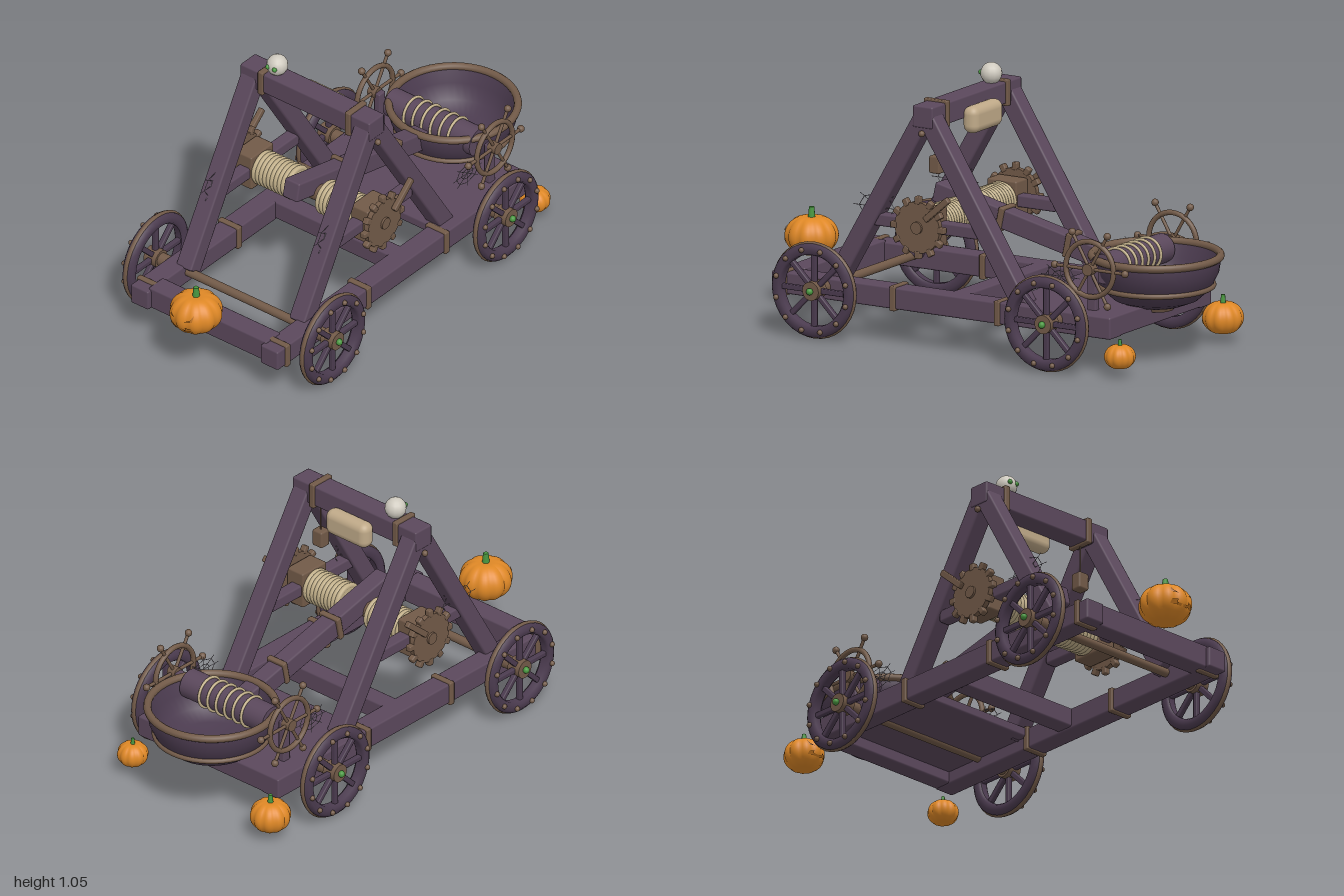
import * as THREE from 'three';
import { RoundedBoxGeometry } from 'three/addons/geometries/RoundedBoxGeometry.js';

const material = (name, color) => Object.assign(new THREE.MeshStandardMaterial({ color }), { name });

export function createModel() {
  const M = {
    wood: material('purple wood', 0x5b485c), dark: material('dark purple wood', 0x4b3b4f),
    brown: material('brown fittings', 0x725a48), rope: material('rope', 0xc2b08a),
    pad: material('pad', 0xbfa988), pumpkin: material('pumpkin orange', 0xdf8826),
    carve: material('carved orange', 0xb56c1c), bone: material('bone', 0xcfcabf),
    green: material('green', 0x48963f), web: material('web grey', 0x77707a),
  };
  M.carve.side = THREE.DoubleSide;
  const root = new THREE.Group();
  root.name = 'catapult';
  const V = (x, y, z) => new THREE.Vector3(x, y, z);

  const add = (name, geo, mat, pos = [0, 0, 0], parent = root) => {
    const m = new THREE.Mesh(geo, mat);
    m.name = name;
    m.position.set(...pos);
    parent.add(m);
    return m;
  };
  const box = (name, size, pos, mat = M.wood, parent = root) =>
    add(name, new RoundedBoxGeometry(...size, 1, Math.min(0.008, Math.min(...size) * 0.2)), mat, pos, parent);
  const ball = (name, r, pos, mat = M.brown, parent = root) =>
    add(name, new THREE.SphereGeometry(r, 14, 10), mat, pos, parent);
  // Cylinder lying along x
  const barX = (name, r, len, pos, mat = M.brown, parent = root) =>
    add(name, new THREE.CylinderGeometry(r, r, len, 24).rotateZ(-Math.PI / 2), mat, pos, parent);
  const ringX = (name, r, tube, pos, mat, parent = root) =>
    add(name, new THREE.TorusGeometry(r, tube, 8, 36).rotateY(Math.PI / 2), mat, pos, parent);
  // Round rod between two points
  const rod = (name, a, b, r, mat, parent = root, sides = 8) => {
    const d = b.clone().sub(a);
    const m = add(name, new THREE.CylinderGeometry(r, r, d.length(), sides), mat, [0, 0, 0], parent);
    m.position.copy(a).add(b).multiplyScalar(0.5);
    m.quaternion.setFromUnitVectors(V(0, 1, 0), d.normalize());
    return m;
  };
  // Square beam in a plane of constant x, from [y, z] to [y, z]
  const beam = (name, x, [y0, z0], [y1, z1], w, h, mat = M.wood) => {
    const m = box(name, [w, h, Math.hypot(y1 - y0, z1 - z0)], [x, (y0 + y1) / 2, (z0 + z1) / 2], mat);
    m.rotation.x = -Math.atan2(y1 - y0, z1 - z0);
    return m;
  };

  // Base frame
  box('frontCrossBeam', [0.6, 0.095, 0.09], [0, 0.2, 0.775]);
  box('middleCrossBeam', [0.6, 0.08, 0.08], [0, 0.2, 0]);
  box('rearCrossBeam', [0.6, 0.085, 0.08], [0, 0.198, -0.71]);
  box('rearDeck', [0.75, 0.04, 0.53], [0, 0.222, -0.485]);
  for (const s of [-1, 1]) {
    box('sideRail', [0.09, 0.088, 1.59], [s * 0.33, 0.196, 0.045]);
    for (const z of [0.78, 0.27, -0.22]) box('railBand', [0.106, 0.102, 0.026], [s * 0.33, 0.196, z], M.brown);
  }

  // Wheels: outward side is local +x
  const rim = [[0.145, -0.015], [0.153, -0.025], [0.175, -0.025], [0.19, -0.014], [0.19, 0.014],
    [0.175, 0.025], [0.153, 0.025], [0.145, 0.015], [0.145, -0.015]].map(p => new THREE.Vector2(...p));
  for (const z of [0.59, -0.5]) {
    barX('axle', 0.018, 0.9, [0, 0.205, z]);
    for (const s of [-1, 1]) {
      const wheel = new THREE.Group();
      wheel.name = 'wheel';
      wheel.position.set(s * 0.45, 0.205, z);
      wheel.rotation.y = s > 0 ? 0 : Math.PI;
      root.add(wheel);
      add('wheelRim', new THREE.LatheGeometry(rim, 40).rotateZ(-Math.PI / 2), M.dark, [0, 0, 0], wheel);
      ringX('tyre', 0.186, 0.011, [0, 0, 0], M.brown, wheel);
      barX('hub', 0.038, 0.06, [0, 0, 0], M.brown, wheel);
      barX('innerHub', 0.028, 0.05, [-0.05, 0, 0], M.brown, wheel);
      ball('hubGem', 0.014, [0.036, 0, 0], M.green, wheel);
      for (let i = 0; i < 12; i++) {
        const a = (i + 0.5) * Math.PI / 6;
        ball('rimRivet', 0.011, [0.028, 0.168 * Math.sin(a), 0.168 * Math.cos(a)], M.brown, wheel);
      }
      for (let i = 0; i < 8; i++) {
        const a = i * Math.PI / 4;
        const spoke = box('spoke', [0.022, 0.13, 0.022], [0, 0.09 * Math.cos(a), 0.09 * Math.sin(a)], M.dark, wheel);
        spoke.rotation.x = a;
      }
    }
  }

  // Tower
  box('topBeam', [0.66, 0.09, 0.095], [0, 0.936, 0.16]);
  for (const s of [-1, 1]) {
    beam('frontLeg', s * 0.288, [0.93, 0.17], [0.215, 0.585], 0.078, 0.075);
    beam('rearLeg', s * 0.288, [0.93, 0.15], [0.215, -0.3], 0.078, 0.075);
    box('sideStrut', [0.055, 0.05, 0.5], [s * 0.288, 0.49, 0.165]);
    box('topBand', [0.026, 0.108, 0.112], [s * 0.222, 0.936, 0.16], M.brown);
    ball('legPeg', 0.013, [s * 0.335, 0.87, 0.16]);
  }
  add('stopPad', new RoundedBoxGeometry(0.22, 0.11, 0.07, 4, 0.033), M.pad, [0, 0.888, 0.086]);
  rod('weightCord', V(0.22, 0.9, 0.16), V(0.22, 0.75, 0.16), 0.003, M.brown);
  box('hangingWeight', [0.052, 0.072, 0.05], [0.22, 0.726, 0.16], M.brown);

  // Skull ball on the top beam
  ball('skull', 0.044, [-0.178, 1.018, 0.16], M.bone);
  for (const x of [-0.195, -0.161]) ball('skullEye', 0.01, [x, 1.021, 0.199], M.green);

  // Winch with rope coils and toothed wheels
  barX('winchDrum', 0.036, 0.7, [0, 0.495, 0.16]);
  for (const s of [-1, 1]) {
    barX('coilCore', 0.06, 0.18, [s * 0.16, 0.492, 0.16], M.rope);
    for (let i = 0; i < 10; i++) ringX('ropeCoil', 0.062, 0.0115, [s * (0.079 + i * 0.0185), 0.492, 0.16], M.rope);
    box('bearing', [0.088, 0.155, 0.14], [s * 0.296, 0.492, 0.16], M.brown);
    barX('gearDisc', 0.105, 0.022, [s * 0.358, 0.495, 0.16]);
    barX('gearHub', 0.025, 0.04, [s * 0.358, 0.495, 0.16]);
    for (let i = 0; i < 12; i++) {
      const a = i * Math.PI / 6;
      const tooth = box('gearTooth', [0.026, 0.032, 0.026],
        [s * 0.358, 0.495 + 0.111 * Math.cos(a), 0.16 + 0.111 * Math.sin(a)], M.brown);
      tooth.rotation.x = a;
    }
    beam('gearHandle', s * 0.38, [0.535, 0.115], [0.63, 0.005], 0.022, 0.026, M.brown);
  }

  // Throwing arm
  beam('throwingArm', 0, [0.562, 0.295], [0.375, -0.52], 0.076, 0.082);
  beam('armBand', 0, [0.491, -0.008], [0.486, -0.032], 0.1, 0.1, M.brown);
  beam('armBand', 0, [0.423, -0.322], [0.418, -0.346], 0.092, 0.1, M.brown);

  // Bowl
  const bowl = [[0, 0.225], [0.11, 0.226], [0.17, 0.25], [0.22, 0.295], [0.25, 0.36], [0.26, 0.425], [0.244, 0.425],
    [0.232, 0.36], [0.2, 0.3], [0.15, 0.262], [0, 0.245]].map(p => new THREE.Vector2(...p));
  add('bowl', new THREE.LatheGeometry(bowl, 48), M.dark, [0, 0, -0.727]);
  const hoop = (name, r, t, y) =>
    add(name, new THREE.TorusGeometry(r, t, 10, 48).rotateX(Math.PI / 2), M.brown, [0, y, -0.727]);
  hoop('bowlRim', 0.256, 0.016, 0.424);
  hoop('bowlHoop', 0.228, 0.011, 0.305);
  add('bowlFoot', new THREE.CylinderGeometry(0.085, 0.07, 0.03, 24), M.brown, [0, 0.22, -0.727]);
  barX('bowlRoller', 0.06, 0.44, [0, 0.395, -0.615], M.wood);
  for (let i = 0; i < 6; i++) ringX('rollerRope', 0.064, 0.006, [-0.112 + i * 0.045, 0.395, -0.615], M.rope);

  // Hand wheels beside the bowl
  for (const s of [-1, 1]) {
    const x = s * 0.305, y = 0.41, z = -0.61;
    ringX('handWheelRim', 0.112, 0.011, [x, y, z], M.brown);
    barX('handWheelHub', 0.024, 0.04, [x, y, z]);
    box('handWheelPost', [0.03, 0.2, 0.04], [s * 0.28, 0.32, z], M.wood);
    for (let i = 0; i < 6; i++) {
      const a = i * Math.PI / 3, c = Math.cos(a) * 0.165, d = Math.sin(a) * 0.165;
      rod('handWheelSpoke', V(x, y, z), V(x, y + d, z + c), 0.007, M.brown);
      ball('handWheelKnob', 0.015, [x, y + d, z + c]);
    }
  }

  // Pumpkins: a ribbed, flattened sphere with an optional carved face
  const pumpkin = (x, y, z, r, h, face) => {
    const g = new THREE.Group();
    g.name = 'pumpkin';
    g.position.set(x, y, z);
    root.add(g);
    const geo = new THREE.SphereGeometry(1, 60, 24), p = geo.attributes.position;
    for (let i = 0; i < p.count; i++) {
      const a = Math.atan2(p.getX(i), p.getZ(i));
      const k = r * (0.92 + 0.08 * Math.abs(Math.cos(a * 5)));
      const dip = 1 - 0.15 * Math.pow(Math.abs(p.getY(i)), 12);
      p.setXYZ(i, p.getX(i) * k, p.getY(i) * h * dip, p.getZ(i) * k);
    }
    geo.computeVertexNormals();
    add('pumpkinBody', geo, M.pumpkin, [0, 0, 0], g);
    add('pumpkinStem', new THREE.CylinderGeometry(r * 0.1, r * 0.14, h * 0.5, 8), M.green, [0, h * 1.08, 0], g);
    if (!face) return;
    const carve = (name, pts) => {
      const f = new THREE.ShapeGeometry(new THREE.Shape(pts.map(q => new THREE.Vector2(...q)))), q = f.attributes.position;
      for (let i = 0; i < q.count; i++) {
        const u = q.getX(i), v = q.getY(i);
        q.setXYZ(i, u * r, v * h, r * Math.sqrt(1 - u * u - v * v) + 0.003);
      }
      f.computeVertexNormals();
      add(name, f, M.carve, [0, 0, 0], g);
    };
    for (const s of [-1, 1]) {
      carve('carvedEye', [[s * 0.22, 0.16], [s * 0.5, 0.18], [s * 0.5, 0.48], [s * 0.42, 0.28]]);
      carve('carvedMouth', [[s * 0.25, -0.38], [s * 0.5, -0.4], [s * 0.48, -0.2], [s * 0.25, -0.15]]);
    }
    carve('carvedMouth', [[-0.25, -0.42], [0.25, -0.42], [0.25, -0.3], [-0.25, -0.3]]);
  };
  pumpkin(0, 0.305, 0.89, 0.108, 0.086, true);
  pumpkin(-0.378, 0.106, -0.8, 0.083, 0.07, true);
  pumpkin(0.365, 0.09, -0.79, 0.063, 0.053, false);

  // Cobwebs on the tower legs and near the bowl
  const cobweb = (x, y, z, r) => {
    const at = (i, k) => V(x, y + r * 0.65 * k * Math.sin(i * Math.PI / 4), z + r * k * Math.cos(i * Math.PI / 4));
    for (let i = 0; i < 8; i++) {
      rod('webThread', at(i, 0), at(i, 1), 0.0014, M.web, root, 4);
      for (const k of [0.4, 0.75]) rod('webThread', at(i, k), at(i + 1, k), 0.0014, M.web, root, 4);
    }
  };
  for (const s of [-1, 1]) {
    cobweb(s * 0.288, 0.535, 0.4, 0.11);
    cobweb(s * 0.288, 0.36, -0.46, 0.09);
  }
  return root;
}
